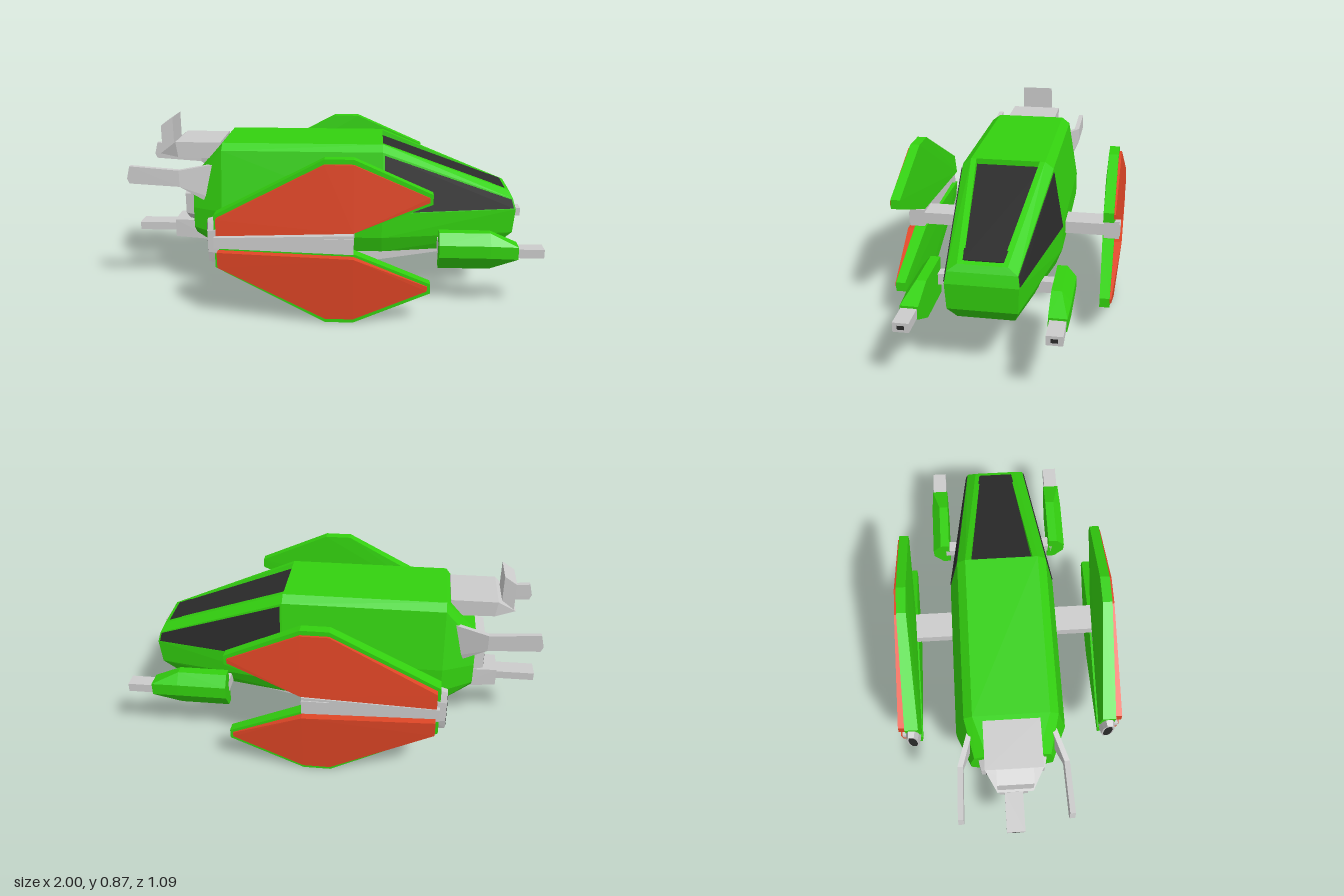
import * as THREE from 'three';
import { ConvexGeometry } from 'three/addons/geometries/ConvexGeometry.js';

const mat = (color) => new THREE.MeshStandardMaterial({ color, flatShading: true });

export function createModel() {
  const root = new THREE.Group();
  const green = mat(0x33d10f), red = mat(0xe04626), dark = mat(0x2b2b2b), grey = mat(0xcccccc);

  // faceted solid around a few corner points [x, y, z]
  const hull = (name, material, pts) => {
    const mesh = new THREE.Mesh(new ConvexGeometry(pts.map((p) => new THREE.Vector3(...p))), material);
    mesh.name = name;
    root.add(mesh);
    return mesh;
  };
  const box = (name, material, x0, x1, y0, y1, z0, z1) => {
    const mesh = new THREE.Mesh(new THREE.BoxGeometry(x1 - x0, y1 - y0, Math.abs(z1 - z0)), material);
    mesh.position.set((x0 + x1) / 2, (y0 + y1) / 2, (z0 + z1) / 2);
    mesh.name = name;
    root.add(mesh);
  };
  const both = (pts) => pts.flatMap(([x, y, z]) => [[x, y, z], [x, y, -z]]);
  const ring = (x, half) => both(half.map(([y, z]) => [x, y, z]));

  // fuselage: rear body and tapering cockpit
  const lower = [[0.45, 0.265], [0.33, 0.265], [0.25, 0.235]];
  const section = [[0.77, 0.175], [0.74, 0.215], ...lower];
  hull('rearBody', green, [
    ...ring(-0.68, [[0.6, 0.12], [0.56, 0.18], [0.45, 0.2], [0.35, 0.2], [0.31, 0.16]]),
    ...ring(-0.53, section), ...ring(0.24, section),
  ]);
  hull('cockpit', green, [
    ...ring(0.24, [[0.74, 0.215], ...lower]),
    ...both([[0.86, 0.53, 0.105], [0.875, 0.5, 0.148], [0.89, 0.45, 0.155],
      [0.88, 0.33, 0.15], [0.8, 0.25, 0.125]]),
  ]);
  hull('roofWindow', dark, both([[0.24, 0.744, 0.16], [0.84, 0.541, 0.085],
    [0.24, 0.72, 0.16], [0.84, 0.52, 0.085]]));

  // belly keel
  hull('belly', grey, both([[-0.48, 0.26, 0.17], [-0.48, 0.16, 0.17], [-0.3, 0.16, 0.17],
    [0.1, 0.16, 0.17], [0.1, 0.26, 0.17], [0.75, 0.235, 0.085], [0.75, 0.26, 0.085]]));

  // main exhaust: octagonal rim with a dark mouth
  const octagon = (x, cy, cz, h, w) => [[1, 0.5], [0.5, 1], [-0.5, 1], [-1, 0.5]].flatMap(([a, b]) =>
    [[x, cy + a * h, cz + b * w], [x, cy + a * h, cz - b * w]]);
  hull('exhaustRim', grey, [...octagon(-0.64, 0.455, 0, 0.12, 0.17), ...octagon(-0.73, 0.455, 0, 0.1, 0.15)]);
  hull('exhaustMouth', dark, [...octagon(-0.7, 0.455, 0, 0.085, 0.13), ...octagon(-0.733, 0.455, 0, 0.085, 0.13)]);

  // rear spoiler with upright tab
  hull('spoiler', grey, both([[-0.55, 0.76, 0.13], [-0.77, 0.76, 0.13], [-0.86, 0.69, 0.08],
    [-0.76, 0.685, 0.13], [-0.55, 0.68, 0.13]]));
  hull('spoilerTab', grey, both([[-0.85, 0.69, 0.08], [-0.85, 0.83, 0.08],
    [-0.79, 0.87, 0.08], [-0.79, 0.7, 0.08]]));

  // tail gun
  hull('tailGunMount', grey, both([[-0.55, 0.25, 0.08], [-0.55, 0.34, 0.08], [-0.81, 0.34, 0.07],
    [-0.81, 0.25, 0.07], [-0.62, 0.24, 0.08]]));
  box('tailGunBarrel', grey, -1, -0.8, 0.275, 0.315, -0.045, 0.045);
  box('tailGunBore', dark, -1.001, -0.98, 0.287, 0.303, -0.018, 0.018);

  for (const s of [1, -1]) {
    const side = (pts) => pts.map(([x, y, z]) => [x, y, z * s]);

    // canopy rail and side window
    hull('roofRail', green, side([[0.24, 0.73, 0.145], [0.24, 0.77, 0.15], [0.24, 0.77, 0.175], [0.24, 0.74, 0.215],
      [0.84, 0.538, 0.08], [0.86, 0.53, 0.08], [0.86, 0.53, 0.105], [0.875, 0.5, 0.148]]));
    const pane = [[0.25, 0.725, 0.216], [0.25, 0.455, 0.263], [0.88, 0.455, 0.156], [0.868, 0.497, 0.15]];
    hull('sideWindow', dark, side(pane.flatMap(([x, y, z]) => [[x, y, z + 0.004], [x, y, z - 0.02]])));

    // swept tail fin: root plate, then a flared tip
    const fin = (name, pts) => hull(name, grey, side(pts.flatMap(([x, y, z]) => [[x, y, z], [x, y, z - 0.025]])));
    fin('finRoot', [[-0.56, 0.67, 0.2], [-0.56, 0.49, 0.2], [-0.62, 0.49, 0.215],
      [-0.73, 0.57, 0.255], [-0.73, 0.65, 0.255]]);
    fin('finTip', [[-0.73, 0.65, 0.255], [-0.73, 0.57, 0.255], [-0.97, 0.585, 0.26],
      [-0.98, 0.61, 0.26], [-0.965, 0.67, 0.26]]);

    // gun pod: body, barrel, bore and strut
    const podCut = [[0.38, 0.27], [0.38, 0.315], [0.33, 0.357], [0.27, 0.357], [0.2, 0.31], [0.2, 0.27]];
    hull('gunPod', green, side([
      ...podCut.map(([y, z]) => [0.51, y, z]), ...podCut.map(([y, z]) => [0.75, y, z]),
      [0.88, 0.325, 0.272], [0.88, 0.325, 0.352], [0.88, 0.265, 0.352], [0.88, 0.265, 0.272],
    ]));
    box('gunBarrel', grey, 0.87, 1, 0.272, 0.315, s * 0.278, s * 0.348);
    box('gunBore', dark, 0.98, 1.001, 0.284, 0.302, s * 0.298, s * 0.328);
    box('gunStrut', grey, 0.51, 0.565, 0.265, 0.32, s * 0.12, s * 0.29);

    // wing support, centre spine and rear vent
    box('wingStrut', grey, -0.02, 0.11, 0.36, 0.42, s * 0.24, s * 0.535);
    hull('wingSpine', grey, side([0.455, 0.53].flatMap((z) => [[-0.52, 0.365, z], [-0.52, 0.415, z],
      [0.11, 0.345, z], [0.11, 0.435, z]])));
    hull('wingVentRim', grey, side([...octagon(-0.5, 0.39, 0.475, 0.11, 0.035),
      ...octagon(-0.55, 0.39, 0.48, 0.1, 0.027)]));
    hull('wingVentMouth', dark, side([...octagon(-0.53, 0.39, 0.48, 0.085, 0.019),
      ...octagon(-0.552, 0.39, 0.48, 0.085, 0.019)]));

    // upper and lower wing plates, each [x, y, inner z, outer z]
    for (const upper of [true, false]) {
      const plate = (name, material, pts) => hull(name, material, side(pts.flatMap(([x, y, a, b]) => {
        const h = upper ? y : 0.78 - y;
        return [[x, h, a, 0], [x, h, b, 0]].map((p) => p.slice(0, 3));
      })));
      plate('wingPlate', green, [[-0.52, 0.42, 0.433, 0.508], [-0.52, 0.515, 0.443, 0.508],
        [-0.02, 0.78, 0.462, 0.508], [0.11, 0.78, 0.462, 0.508], [0.46, 0.625, 0.462, 0.508],
        [0.46, 0.58, 0.462, 0.508], [0.11, 0.44, 0.45, 0.508]]);
      plate('wingPanel', red, [[-0.505, 0.43, 0.5, 0.545], [-0.505, 0.505, 0.5, 0.54],
        [-0.02, 0.758, 0.5, 0.52], [0.11, 0.758, 0.5, 0.52], [0.445, 0.612, 0.5, 0.515],
        [0.445, 0.59, 0.5, 0.515], [0.11, 0.452, 0.5, 0.545]]);
    }
  }
  return root;
}
